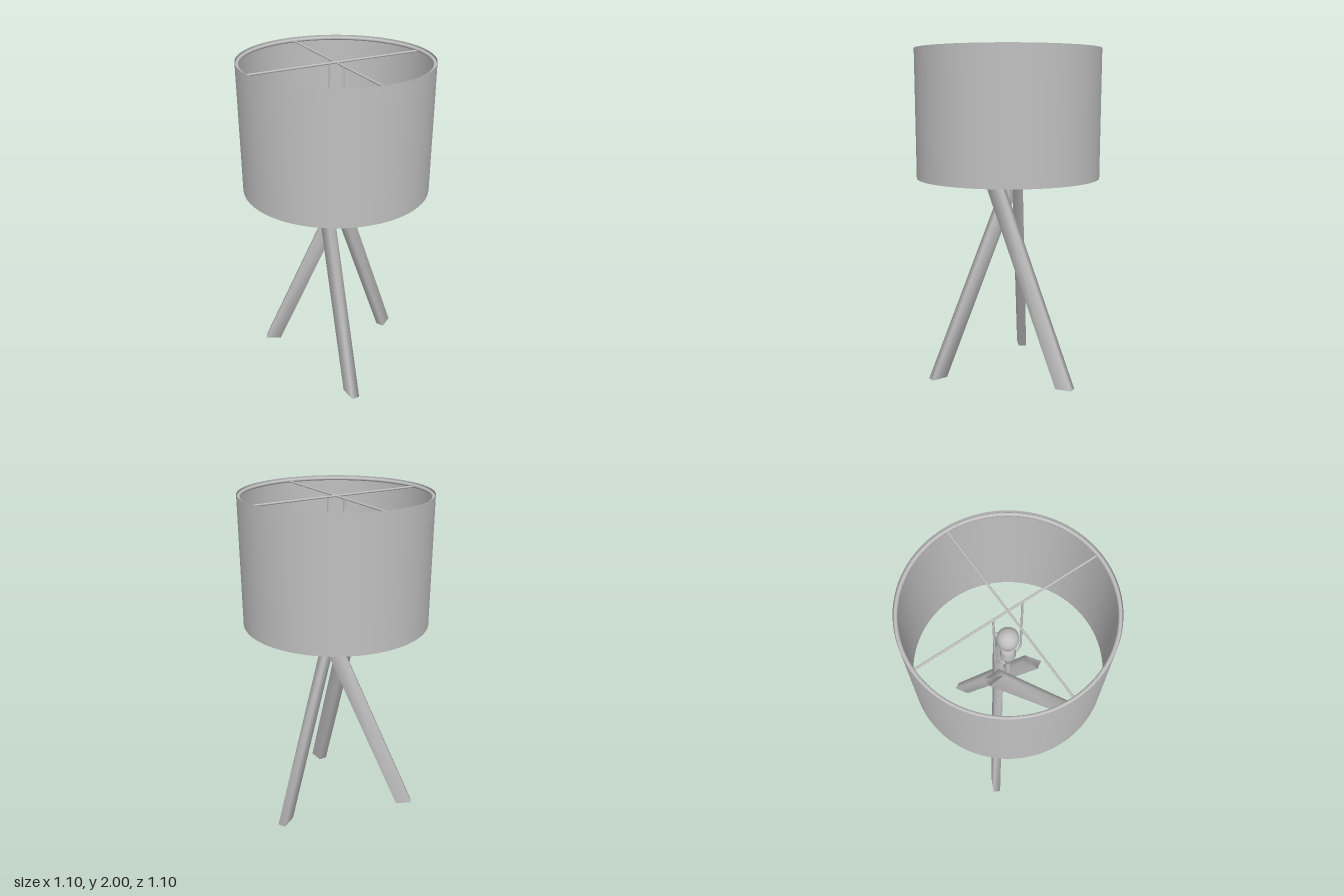
import * as THREE from 'three';

const grey = new THREE.MeshStandardMaterial({ color: 0xc0c0c0, side: THREE.DoubleSide });
grey.name = 'plain grey';

function add(parent, name, geometry, x = 0, y = 0, z = 0) {
  const mesh = new THREE.Mesh(geometry, grey);
  mesh.name = name;
  mesh.position.set(x, y, z);
  parent.add(mesh);
  return mesh;
}

// Slanted bar with level ends; shared corners keep its shading soft
function legGeometry() {
  const foot = [[-0.146, 0.49], [-0.097, 0.49], [-0.101, 0.39], [-0.153, 0.39]];
  const height = 1.345, leanX = 0.08, leanZ = -0.565;
  const points = [];
  for (const t of [0, 1]) {
    for (const [x, z] of foot) points.push(x + leanX * t, height * t, z + leanZ * t);
  }
  const index = [0, 3, 2, 0, 2, 1, 4, 5, 6, 4, 6, 7];
  for (let i = 0; i < 4; i++) {
    const j = (i + 1) % 4;
    index.push(i, j, j + 4, i, j + 4, i + 4);
  }
  const geometry = new THREE.BufferGeometry();
  geometry.setAttribute('position', new THREE.Float32BufferAttribute(points, 3));
  geometry.setIndex(index);
  geometry.computeVertexNormals();
  return geometry;
}

function lathe(profile, segments = 32) {
  return new THREE.LatheGeometry(profile.map(([r, y]) => new THREE.Vector2(r, y)), segments);
}

export function createModel() {
  const lamp = new THREE.Group();
  lamp.name = 'tripodLamp';

  // Three crossing legs
  const legs = new THREE.Group();
  legs.name = 'legs';
  lamp.add(legs);
  const leg = legGeometry();
  for (let i = 0; i < 3; i++) add(legs, 'leg', leg).rotation.y = i * Math.PI * 2 / 3;

  // Drum shade with its wire ring and cross bars
  add(lamp, 'shade', new THREE.CylinderGeometry(0.552, 0.552, 0.76, 96, 1, true), 0, 1.62, 0);
  add(lamp, 'topRing', new THREE.TorusGeometry(0.541, 0.0105, 10, 96), 0, 1.982, 0).rotation.x = Math.PI / 2;
  const bar = new THREE.CylinderGeometry(0.006, 0.006, 1.08, 10);
  add(lamp, 'crossBar', bar, 0, 1.977, 0).rotation.z = Math.PI / 2;
  add(lamp, 'crossBar', bar, 0, 1.977, 0).rotation.x = Math.PI / 2;

  // Harp wires from the socket up to the cross bar
  for (const s of [-1, 1]) {
    const path = new THREE.CatmullRomCurve3([
      [0.015, 1.375], [0.06, 1.39], [0.084, 1.44], [0.086, 1.52], [0.086, 1.75], [0.086, 1.975],
    ].map(([z, y]) => new THREE.Vector3(0, y, s * z)));
    add(lamp, 'harpWire', new THREE.TubeGeometry(path, 40, 0.006, 8));
  }

  // Stem, socket and bulb
  add(lamp, 'stem', new THREE.CylinderGeometry(0.015, 0.015, 0.43, 20), 0, 1.165, 0);
  add(lamp, 'socket', lathe([
    [0, 1.34], [0.024, 1.34], [0.024, 1.385], [0.032, 1.39], [0.044, 1.42],
    [0.044, 1.45], [0.039, 1.455], [0.039, 1.53], [0, 1.53],
  ]));
  add(lamp, 'bulb', lathe([
    [0.028, 1.52], [0.031, 1.55], [0.045, 1.585], [0.058, 1.615], [0.062, 1.642],
    [0.058, 1.667], [0.044, 1.688], [0.023, 1.701], [0, 1.705],
  ]));

  // Turn switch on the side of the socket
  add(lamp, 'switchShaft', new THREE.CylinderGeometry(0.007, 0.007, 0.07, 10), 0.07, 1.49, 0).rotation.z = Math.PI / 2;
  add(lamp, 'switchKnob', new THREE.CylinderGeometry(0.013, 0.013, 0.015, 16), 0.107, 1.49, 0).rotation.z = Math.PI / 2;

  return lamp;
}
